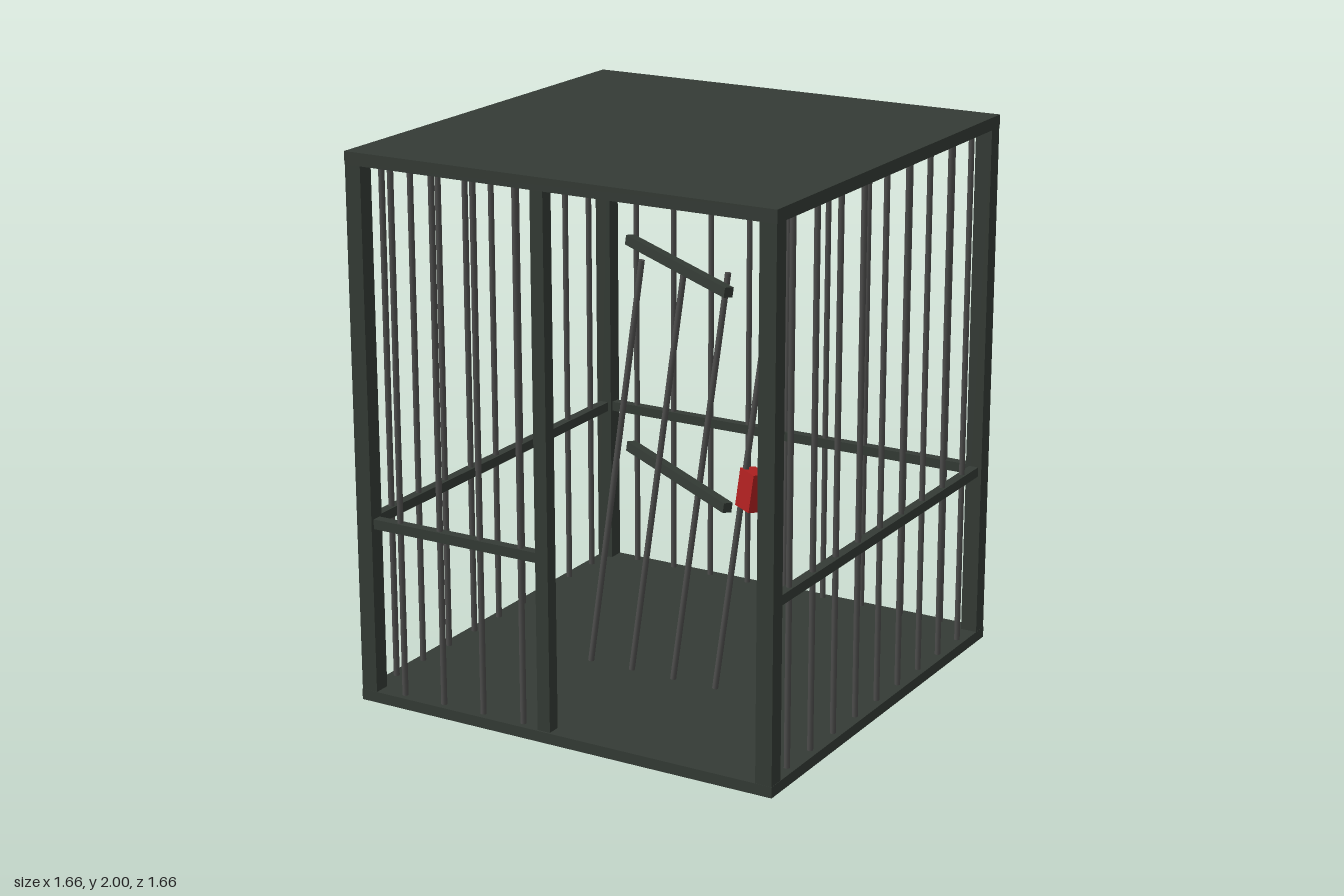
import * as THREE from 'three';

const mat = (name, color) => {
  const m = new THREE.MeshStandardMaterial({ color });
  m.name = name;
  return m;
};

export function createModel() {
  const frame = mat('dark green iron', 0x343b35);
  const steel = mat('grey steel', 0x4c4c4b);
  const red = mat('red lock', 0xb02020);
  const cage = new THREE.Group();
  cage.name = 'cage';

  const box = (name, size, pos, m = frame, parent = cage) => {
    const mesh = new THREE.Mesh(new THREE.BoxGeometry(...size), m);
    mesh.name = name;
    mesh.position.set(...pos);
    parent.add(mesh);
    return mesh;
  };
  // Round bar between two points
  const bar = (name, a, b, parent = cage, r = 0.011) => {
    const p = new THREE.Vector3(...a), q = new THREE.Vector3(...b);
    const dir = q.clone().sub(p);
    const mesh = new THREE.Mesh(new THREE.CylinderGeometry(r, r, dir.length(), 8), steel);
    mesh.name = name;
    mesh.position.copy(p).add(q).multiplyScalar(0.5);
    mesh.quaternion.setFromUnitVectors(new THREE.Vector3(0, 1, 0), dir.normalize());
    parent.add(mesh);
  };

  // Solid floor and roof, corner posts
  const W = 1.664, E = 0.8, railY = 0.67;
  box('floor', [W, 0.04, W], [0, 0.02, 0]);
  box('roof', [W, 0.046, W], [0, 1.977, 0]);
  for (const x of [-E, E]) for (const z of [-E, E]) {
    box('cornerPost', [0.062, 1.92, 0.062], [x, 0.997, z]);
  }

  // Middle rails and door post
  for (const x of [-E, E]) box('sideRail', [0.036, 0.036, 1.6], [x, railY, 0]);
  box('backRail', [1.6, 0.036, 0.036], [0, railY, -E]);
  box('frontRail', [0.735, 0.036, 0.036], [-0.4325, railY, E]);
  box('doorPost', [0.05, 1.92, 0.05], [-0.067, 0.997, E]);

  // Upright bars; the front has them only beside the doorway
  for (let i = -4; i <= 4; i++) {
    const t = i / 6;
    for (const x of [-E, E]) bar('sideBar', [x, 0.03, t], [x, 1.96, t]);
    bar('backBar', [t, 0.03, -E], [t, 1.96, -E]);
    if (i < 0) bar('frontBar', [t, 0.03, E], [t, 1.96, E]);
  }

  // Door hanging askew inside the opening
  const door = new THREE.Group();
  door.name = 'door';
  cage.add(door);
  for (let i = 0; i < 4; i++) {
    const x = -0.047 + i / 6;
    bar('doorBar', [x, 0.21, 0.545], [x + 0.16, 1.66, 0.456], door);
  }
  const ax = new THREE.Vector3(0.56, -0.042, 0.3).normalize();
  const up = new THREE.Vector3(0.16, 1.45, -0.09);
  const az = new THREE.Vector3().crossVectors(ax, up).normalize();
  const tilt = new THREE.Quaternion().setFromRotationMatrix(
    new THREE.Matrix4().makeBasis(ax, new THREE.Vector3().crossVectors(az, ax), az));
  for (const [y, x] of [[0.935, 0.28], [1.673, 0.28]]) {
    box('doorRail', [0.63, 0.034, 0.034], [x, y, 0.5], frame, door).quaternion.copy(tilt);
  }
  box('lock', [0.083, 0.133, 0.06], [0.566, 0.935, 0.5], red, door).quaternion.copy(tilt);

  return cage;
}
